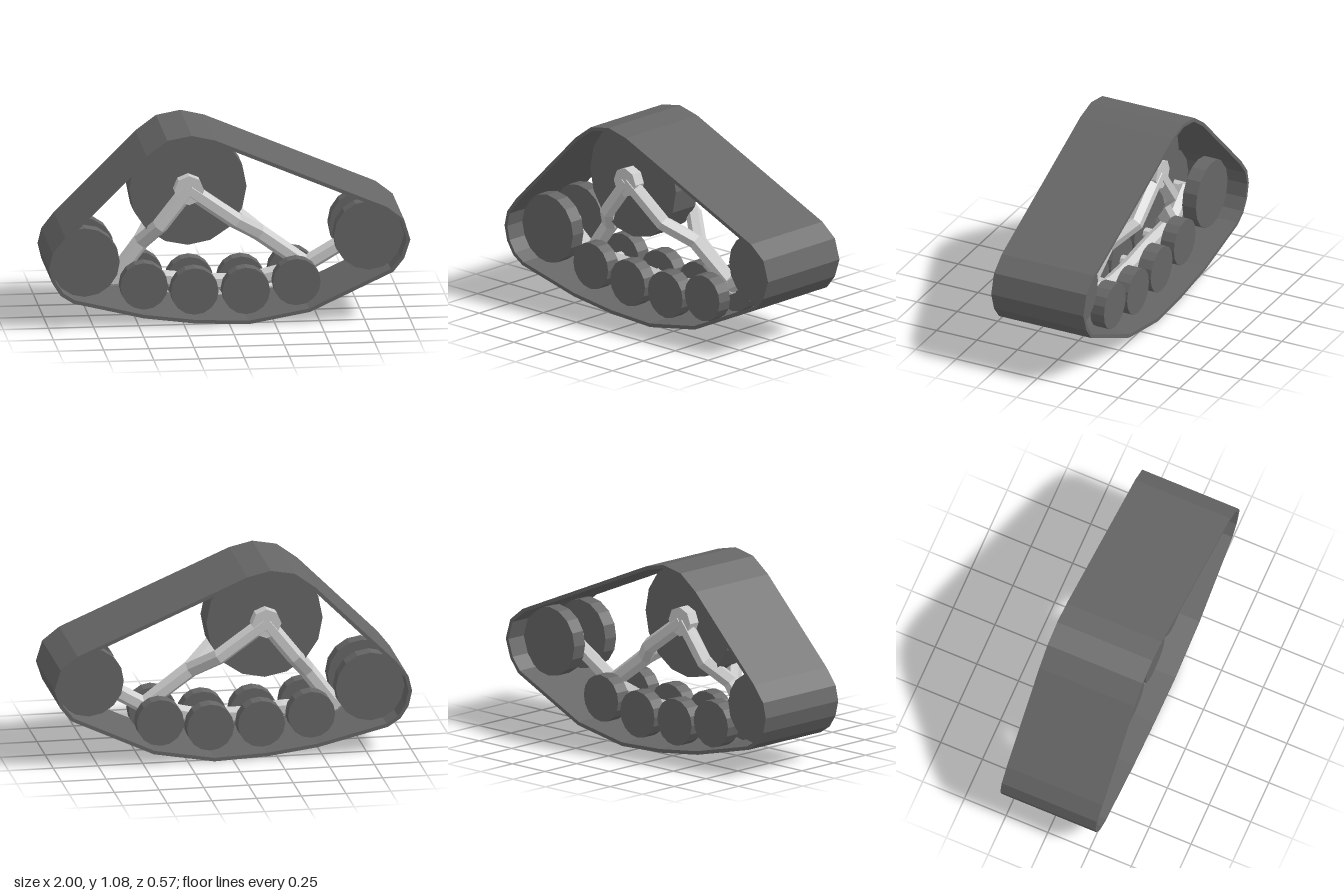
import * as THREE from 'three';

const dark = new THREE.MeshStandardMaterial({ color: 0x666666, flatShading: true });
const grey = new THREE.MeshStandardMaterial({ color: 0xcccccc, flatShading: true });

function add(parent, name, geometry, material) {
  const mesh = new THREE.Mesh(geometry, material);
  mesh.name = name;
  parent.add(mesh);
  return mesh;
}

// Cylinder lying along z, spanning z0..z1
function disc(parent, name, [x, y], r, z0, z1, sides, material) {
  const geo = new THREE.CylinderGeometry(r, r, z1 - z0, sides).rotateX(Math.PI / 2);
  add(parent, name, geo, material).position.set(x, y, (z0 + z1) / 2);
}

// Move every side of a clockwise or counter-clockwise outline inwards by d
function inset(points, d) {
  const sign = THREE.ShapeUtils.isClockWise(points) ? -1 : 1;
  const n = points.length;
  const normal = (a, b) => new THREE.Vector2(a.y - b.y, b.x - a.x).normalize().multiplyScalar(sign);
  return points.map((p, i) => {
    const n1 = normal(points[(i + n - 1) % n], p);
    const n2 = normal(p, points[(i + 1) % n]);
    return p.clone().addScaledVector(n1.clone().add(n2), d / (1 + n1.dot(n2)));
  });
}

// Six-sided beam swept through the given points, closed at both ends
function beam(parent, name, path, r) {
  const pts = path.map((p) => new THREE.Vector3(...p));
  const sides = 6, pos = [], idx = [], last = pts.length - 1;
  const zAxis = new THREE.Vector3(0, 0, 1);
  pts.forEach((p, i) => {
    const t = new THREE.Vector3();
    if (i > 0) t.add(p.clone().sub(pts[i - 1]).normalize());
    if (i < last) t.add(pts[i + 1].clone().sub(p).normalize());
    t.normalize();
    const u = t.clone().cross(zAxis).normalize();
    const v = t.clone().cross(u);
    for (let j = 0; j < sides; j++) {
      const a = (j / sides) * Math.PI * 2;
      const q = p.clone().addScaledVector(u, r * Math.cos(a)).addScaledVector(v, r * Math.sin(a));
      pos.push(q.x, q.y, q.z);
    }
  });
  for (let i = 0; i < last; i++) {
    for (let j = 0; j < sides; j++) {
      const a0 = i * sides + j, a1 = i * sides + ((j + 1) % sides);
      idx.push(a0, a1, a0 + sides, a1, a1 + sides, a0 + sides);
    }
  }
  const end = last * sides;
  for (let j = 1; j < sides - 1; j++) idx.push(0, j + 1, j, end, end + j, end + j + 1);
  const geo = new THREE.BufferGeometry();
  geo.setAttribute('position', new THREE.Float32BufferAttribute(pos, 3));
  geo.setIndex(idx);
  geo.computeVertexNormals();
  add(parent, name, geo, grey);
}

export function createModel() {
  const model = new THREE.Group();
  model.name = 'trackUnit';

  // Belt: thin closed loop around all wheels
  const outline = [
    [-0.21, 1.08], [-0.345, 1.055], [-0.46, 0.97], [-0.91, 0.52], [-0.98, 0.43],
    [-1, 0.345], [-0.98, 0.26], [-0.935, 0.19], [-0.865, 0.145], [-0.475, 0.05],
    [-0.19, 0.013], [0.105, 0], [0.445, 0.06], [0.905, 0.275], [0.965, 0.35],
    [1, 0.455], [0.965, 0.57], [0.87, 0.645], [-0.08, 1.05],
  ].map(([x, y]) => new THREE.Vector2(x, y));
  const loop = new THREE.Shape(outline);
  loop.holes.push(new THREE.Path(inset(outline, 0.02)));
  const belt = new THREE.ExtrudeGeometry(loop, { depth: 0.57, bevelEnabled: false });
  add(model, 'belt', belt.translate(0, 0, -0.285), dark);

  // Drive wheel with its hub showing on both faces
  const drive = [-0.21, 0.735];
  disc(model, 'driveWheel', drive, 0.325, -0.09, 0.09, 16, dark);
  disc(model, 'driveHub', drive, 0.083, -0.157, 0.157, 8, grey);

  // Paired end wheels and road wheels on short axles
  const wheels = [
    ['endWheel', [-0.79, 0.345], 0.195], ['endWheel', [0.785, 0.455], 0.195],
    ['roadWheel', [-0.46, 0.2], 0.132], ['roadWheel', [-0.18, 0.163], 0.132],
    ['roadWheel', [0.105, 0.158], 0.132], ['roadWheel', [0.385, 0.2], 0.132],
  ];
  for (const [name, centre, r] of wheels) {
    disc(model, name + 'Front', centre, r, 0.08, 0.165, 16, dark);
    disc(model, name + 'Back', centre, r, -0.165, -0.08, 16, dark);
    disc(model, name + 'Axle', centre, 0.03, -0.1, 0.1, 8, grey);
  }

  // Forked arms from the hub down to the central frame
  for (const s of [1, -1]) {
    beam(model, 'longArm', [[-0.21, 0.735, s * 0.122], [0.05, 0.55, s * 0.122],
      [0.19, 0.45, s * 0.01], [0.45, 0.26, 0]], 0.046);
    beam(model, 'shortArm', [[-0.21, 0.735, s * 0.122], [-0.37, 0.53, s * 0.122],
      [-0.46, 0.415, s * 0.01], [-0.61, 0.215, 0]], 0.046);
  }

  // Central frame along the road wheels, reaching up to both end wheels
  beam(model, 'lowerFrame', [[-0.63, 0.21, 0], [-0.32, 0.2, 0], [-0.1, 0.175, 0],
    [0.13, 0.175, 0], [0.45, 0.25, 0]], 0.046);
  beam(model, 'longEndLink', [[0.42, 0.24, 0], [0.785, 0.455, 0]], 0.046);
  beam(model, 'shortEndLink', [[-0.6, 0.2, 0], [-0.79, 0.345, 0]], 0.046);

  return model;
}
